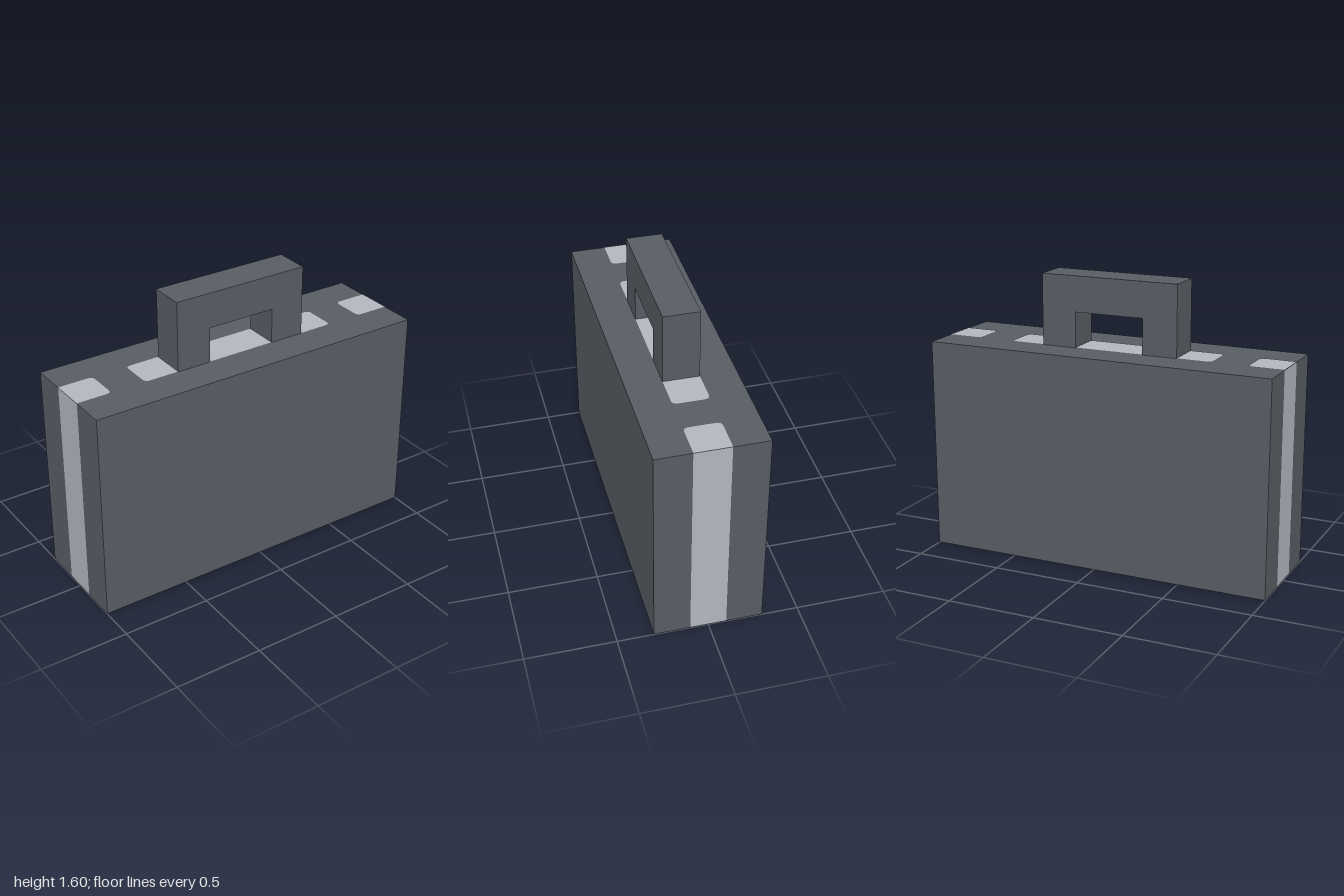
import * as THREE from 'three';

export function createModel() {
  const model = new THREE.Group();
  const dark = new THREE.MeshStandardMaterial({ color: 0x585d64 });
  dark.name = 'slate grey';
  const light = new THREE.MeshStandardMaterial({ color: 0xb3b6bf });
  light.name = 'pale grey';

  const add = (name, geometry, material) => {
    const mesh = new THREE.Mesh(geometry, material);
    mesh.name = name;
    model.add(mesh);
    return mesh;
  };

  const TOP = 1.2, LIFT = 0.002;

  // Case: two shells around a middle band whose end faces are pale
  const height = TOP - LIFT, midY = (TOP + LIFT) / 2;
  for (const s of [1, -1]) {
    add(s > 0 ? 'frontShell' : 'backShell', new THREE.BoxGeometry(2, height, 0.2), dark)
      .position.set(0, midY, s * 0.2);
  }
  add('middleBand', new THREE.BoxGeometry(2, height, 0.2), [light, light, dark, dark, dark, dark])
    .position.set(0, midY, 0);

  // Handle: square arch
  const arch = new THREE.Shape([
    [-0.4, TOP], [-0.2, TOP], [-0.2, 1.4], [0.2, 1.4],
    [0.2, TOP], [0.4, TOP], [0.4, 1.6], [-0.4, 1.6],
  ].map(([x, y]) => new THREE.Vector2(x, y)));
  add('handle', new THREE.ExtrudeGeometry(arch, { depth: 0.2, bevelEnabled: false }).translate(0, 0, -0.1), dark);

  // Flat inlay from x0 to x1, with the chosen ends rounded
  const inlay = (x0, x1, r0, r1) => {
    const w = 0.1, s = new THREE.Shape();
    s.moveTo(x0 + r0, -w);
    s.lineTo(x1 - r1, -w);
    if (r1) s.quadraticCurveTo(x1, -w, x1, -w + r1);
    s.lineTo(x1, w - r1);
    if (r1) s.quadraticCurveTo(x1, w, x1 - r1, w);
    s.lineTo(x0 + r0, w);
    if (r0) s.quadraticCurveTo(x0, w, x0, w - r0);
    s.lineTo(x0, -w + r0);
    if (r0) s.quadraticCurveTo(x0, -w, x0 + r0, -w);
    return new THREE.ShapeGeometry(s, 4);
  };
  const up = (g) => g.rotateX(-Math.PI / 2).translate(0, TOP + LIFT, 0);
  const down = (g) => g.rotateX(Math.PI / 2);
  const R = 0.03;

  // Pale inlays: under the handle and wrapping over both ends
  add('handleInlay', up(inlay(-0.6, 0.6, R, R)), light);
  for (const [side, place] of [['top', up], ['bottom', down]]) {
    add(side + 'LeftInlay', place(inlay(0.8, 1, R, 0)), light);
    add(side + 'RightInlay', place(inlay(-1, -0.8, 0, R)), light);
  }

  model.position.set(0, 0, 0);
  return model;
}
